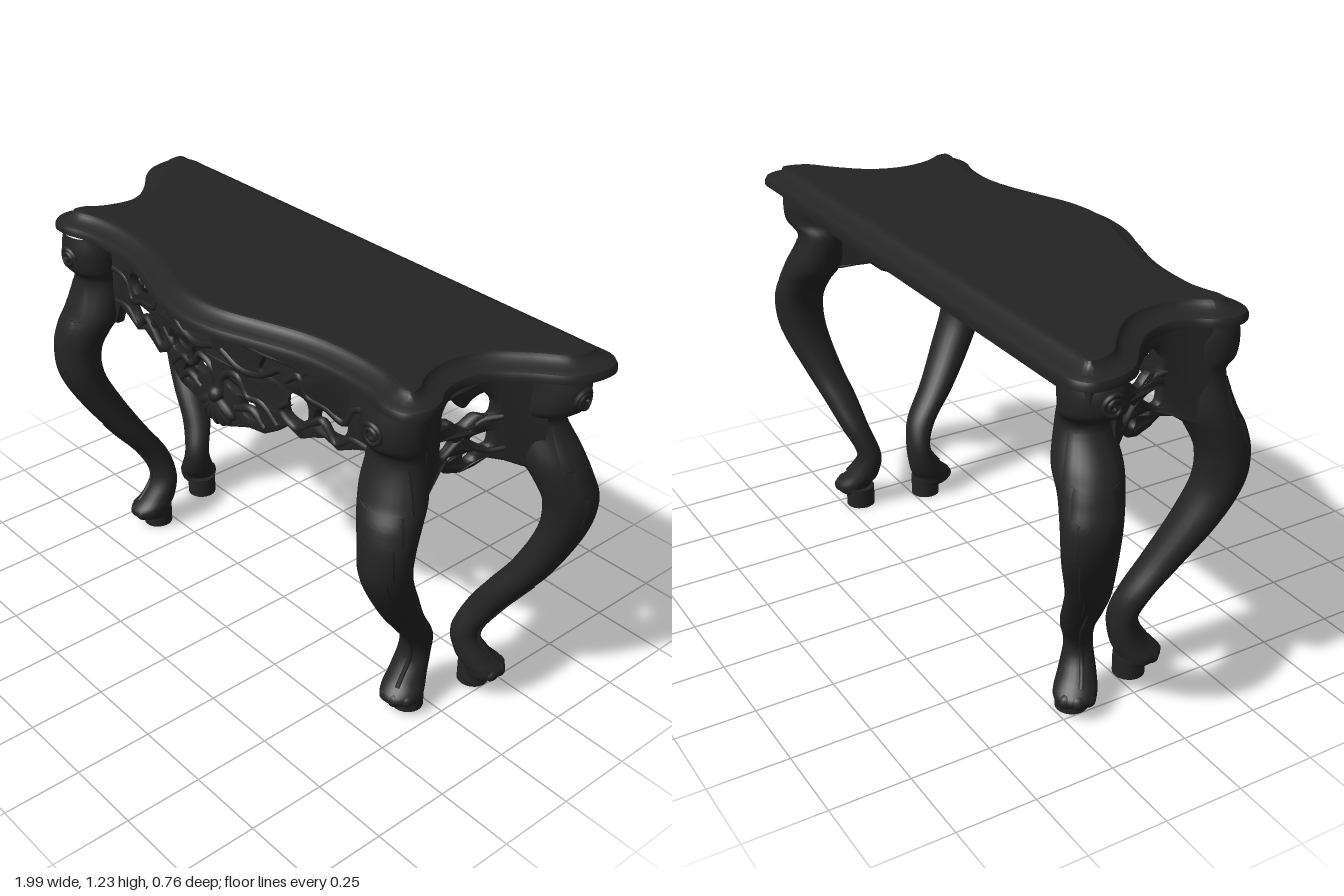
import * as THREE from 'three';
import { toCreasedNormals } from 'three/addons/utils/BufferGeometryUtils.js';

const V2 = (p) => new THREE.Vector2(p[0], p[1]);
const frontZ = (x) => 0.2 + (Math.abs(x) < 0.62 ? 0.029 * (1 + Math.cos((Math.PI * x) / 0.62)) : 0);
const sideX = (z) => 0.725 + 3 * (z - 0.03) ** 2;

// Skin over rows of points; rows run downwards, columns from +x towards +z
function skin(rows, closed = true) {
  const n = rows[0].length, index = [];
  for (let i = 0; i < rows.length - 1; i++) {
    for (let j = 0; j < (closed ? n : n - 1); j++) {
      const a = i * n + j, b = i * n + ((j + 1) % n);
      index.push(a, b, a + n, b, b + n, a + n);
    }
  }
  const g = new THREE.BufferGeometry();
  g.setAttribute('position', new THREE.Float32BufferAttribute(rows.flat(2), 3));
  g.setIndex(index);
  g.computeVertexNormals();
  return g;
}

// Mirror image across x = 0 with the winding put right
function mirrored(geo) {
  const g = geo.index ? geo.toNonIndexed() : geo.clone();
  g.scale(-1, 1, 1);
  for (const a of Object.values(g.attributes)) {
    for (let i = 0; i < a.count; i += 3) {
      for (let k = 0; k < a.itemSize; k++) {
        const t = a.getComponent(i + 1, k);
        a.setComponent(i + 1, k, a.getComponent(i + 2, k));
        a.setComponent(i + 2, k, t);
      }
    }
  }
  return g;
}

// Half outline of the top, back centre to front centre
const HALF = [[0, -0.379], [0.5, -0.379], [0.85, -0.379], [0.945, -0.375], [0.985, -0.34], [0.99, -0.275], [0.96, -0.195],
  [0.87, -0.115], [0.8, -0.035], [0.78, 0.045], [0.795, 0.115], [0.83, 0.17], [0.838, 0.235], [0.805, 0.285], [0.735, 0.295],
  [0.66, 0.275], [0.56, 0.266], [0.4, 0.28], [0.24, 0.33], [0.12, 0.37], [0, 0.384]];
const FULL = [...HALF, ...HALF.slice(1, -1).reverse().map(([x, z]) => [-x, z])];
const OUTLINE = new THREE.CatmullRomCurve3(FULL.map(([x, z]) => new THREE.Vector3(x, 0, z)), true)
  .getPoints(200).slice(0, -1).map((p) => [p.x, p.z]);

// Outline moved inwards, held back where it would fold over itself
function inset(d) {
  const n = OUTLINE.length;
  return OUTLINE.map(([x, z], i) => {
    const p = OUTLINE[(i + n - 1) % n], q = OUTLINE[(i + 1) % n];
    const l = Math.hypot(q[0] - p[0], q[1] - p[1]);
    const nx = -(q[1] - p[1]) / l, nz = (q[0] - p[0]) / l;
    for (let e = d; e > 0; e -= 0.002) {
      const c = [x + nx * e, z + nz * e];
      if (OUTLINE.every((o) => Math.hypot(o[0] - c[0], o[1] - c[1]) > e * 0.95)) return c;
    }
    return [x, z];
  });
}

// Leg sections: y, centre x, centre z, radius x, radius z
const FRONT_LEG = [[1.175, 0.71, 0.22, 0.085, 0.08], [1.12, 0.71, 0.22, 0.1, 0.087], [1.06, 0.71, 0.217, 0.1, 0.083],
  [1.01, 0.705, 0.202, 0.092, 0.067], [0.9, 0.715, 0.218, 0.108, 0.083], [0.83, 0.735, 0.248, 0.1, 0.083],
  [0.75, 0.75, 0.27, 0.088, 0.075], [0.65, 0.745, 0.265, 0.083, 0.071], [0.53, 0.725, 0.208, 0.078, 0.067],
  [0.4, 0.69, 0.127, 0.066, 0.058], [0.29, 0.665, 0.048, 0.058, 0.048], [0.2, 0.642, 0.022, 0.056, 0.04],
  [0.12, 0.643, 0.048, 0.06, 0.058], [0.075, 0.653, 0.078, 0.065, 0.071], [0.045, 0.653, 0.075, 0.055, 0.06],
  [0.03, 0.65, 0.06, 0.01, 0.01]];
const BACK_LEG = [[1.175, 0.85, -0.25, 0.08, 0.086], [1.12, 0.855, -0.253, 0.1, 0.09], [1.06, 0.85, -0.25, 0.095, 0.09],
  [1.01, 0.805, -0.245, 0.075, 0.075], [0.9, 0.845, -0.258, 0.1, 0.093], [0.83, 0.89, -0.273, 0.085, 0.09],
  [0.75, 0.92, -0.289, 0.074, 0.087], [0.64, 0.908, -0.283, 0.065, 0.081], [0.5, 0.85, -0.245, 0.062, 0.066],
  [0.4, 0.785, -0.215, 0.06, 0.058], [0.3, 0.72, -0.19, 0.055, 0.048], [0.2, 0.68, -0.158, 0.046, 0.042],
  [0.12, 0.703, -0.175, 0.06, 0.055], [0.075, 0.732, -0.2, 0.066, 0.065], [0.045, 0.728, -0.198, 0.055, 0.054],
  [0.03, 0.7, -0.19, 0.01, 0.01]];

function legPoint(sections) {
  const mid = new THREE.CatmullRomCurve3(sections.map((s) => new THREE.Vector3(s[1], s[0], s[2])), false, 'catmullrom');
  const rad = new THREE.CatmullRomCurve3(sections.map((s) => new THREE.Vector3(s[3], 0, s[4])), false, 'catmullrom');
  return (t, a, k = 1) => {
    const c = mid.getPoint(t), r = rad.getPoint(t);
    return [c.x + k * r.x * Math.cos(a), c.y, c.z + k * r.z * Math.sin(a)];
  };
}
const steps = (n, f) => Array.from({ length: n + 1 }, (_, i) => f(i / n));

// Carved panel with holes, bent by a rule
function panel(outline, holes, place) {
  const shape = new THREE.Shape(outline.map(V2));
  for (const h of holes) {
    const c = new THREE.SplineCurve([...h, h[0]].map(V2));
    shape.holes.push(new THREE.Path(c.getPoints(h.length * 5).slice(0, -1)));
  }
  const g = new THREE.ExtrudeGeometry(shape, { depth: 0.02, bevelSize: 0.008, bevelOffset: -0.008, bevelThickness: 0.008, bevelSegments: 2 });
  const p = g.attributes.position;
  for (let i = 0; i < p.count; i++) p.setXYZ(i, ...place(p.getX(i), p.getY(i), p.getZ(i)));
  return toCreasedNormals(g, 0.7);
}
const onFront = (x, y, d) => [x, y, frontZ(x) - 0.024 + d];
const onSide = (u, y, d) => [sideX(-u) - 0.024 + d, y, -u];

// Rounded scroll following a bent panel
function scroll(points, place, r) {
  const c = new THREE.CatmullRomCurve3(points.map(([u, y]) => new THREE.Vector3(...place(u, y, 0.02))));
  return new THREE.TubeGeometry(c, points.length * 6, r, 7);
}

export function createModel() {
  const model = new THREE.Group();
  const wood = new THREE.MeshStandardMaterial({ color: 0x242424 });
  wood.name = 'blackWood';
  const add = (name, geo) => {
    const m = new THREE.Mesh(geo, wood);
    m.name = name;
    model.add(m);
  };
  const pair = (name, geo) => {
    add(name + 'Left', geo);
    add(name + 'Right', mirrored(geo));
  };

  // Moulded slabs made of rings from the top down
  const slab = (name, rings) => {
    add(name + 'Edge', toCreasedNormals(skin(rings), 0.6));
    const cap = (ring, s) => new THREE.ShapeGeometry(new THREE.Shape(ring.map((p) => new THREE.Vector2(p[0], -s * p[2]))))
      .rotateX((-s * Math.PI) / 2).translate(0, ring[0][1], 0);
    add(name + 'Upper', cap(rings[0], 1));
    add(name + 'Under', cap(rings[rings.length - 1], -1));
  };
  const profile = [[0.07, 1.23], [0.063, 1.228], [0.058, 1.218], [0.045, 1.207], [0.022, 1.203], [0.006, 1.196], [0, 1.185], [0, 1.172]];
  slab('tableTop', profile.map(([d, y]) => inset(d).map(([x, z]) => [x, y, z])));
  // Frame under the top, with a flatter front
  const frame = inset(0.06);
  slab('frame', [1.175, 1.105].map((y) => frame.map(([x, z]) => [x, y, Math.min(z, frontZ(x) - 0.001)])));

  // Cabriole legs with a jagged leaf on each knee and a round foot block
  const legs = [['frontLeg', FRONT_LEG, 1.2, [0.65, 0.05]], ['backLeg', BACK_LEG, -0.4, [0.7, -0.19]]];
  for (const [name, sections, facing, foot] of legs) {
    const at = legPoint(sections);
    pair(name, skin(steps(75, (t) => steps(23, (j) => at(t, (j * 23 / 24) * Math.PI * 2)))));
    const leaf = steps(60, (v) => {
      const half = (0.25 + 0.9 * (1 - v) ** 0.7) * (0.7 + 0.4 * ((v * 5) % 1));
      return steps(10, (j) => at(0.21 + v * 0.4, facing + (j * 2 - 1) * half, j < 0.05 || j > 0.95 ? 0.97 : 1.035));
    });
    pair(name + 'Leaf', toCreasedNormals(skin(leaf, false), 0.6));
    // Stem running from the leaf to the foot
    const stem = steps(12, (v) => new THREE.Vector3(...at(0.58 + v * 0.24, facing, 0.99)));
    pair(name + 'Stem', new THREE.TubeGeometry(new THREE.CatmullRomCurve3(stem), 30, 0.008, 6));
    pair(name + 'Block', new THREE.CylinderGeometry(0.05, 0.05, 0.07, 20).translate(foot[0], 0.035, foot[1]));
    // Toes
    for (const da of [-0.75, 0, 0.75]) {
      const [x, , z] = at(13 / 15, facing + da, 0.7);
      pair(name + 'Toe', new THREE.SphereGeometry(0.025, 12, 8).translate(x, 0.065, z));
    }
    // Volute on the capital
    const spiral = steps(30, (t) => {
      const w = t * Math.PI * 4, r = 0.034 * (1 - 0.8 * t);
      const p = at(0.09, facing + 0.35 + (r * Math.cos(w)) / 0.09, 0.99);
      return new THREE.Vector3(p[0], 1.1 + r * Math.sin(w), p[2]);
    });
    pair(name + 'Volute', new THREE.TubeGeometry(new THREE.CatmullRomCurve3(spiral), 60, 0.008, 6));
  }

  // Pierced front apron
  const lower = [[0.66, 0.86], [0.61, 0.87], [0.58, 0.945], [0.53, 0.925], [0.48, 0.9], [0.43, 0.92], [0.38, 0.9],
    [0.34, 0.88], [0.29, 0.905], [0.25, 0.87], [0.2, 0.84], [0.14, 0.835], [0.1, 0.82], [0.05, 0.8]];
  const edge = [...lower.map(([x, y]) => [-x, y]), [0, 0.79], ...[...lower].reverse()];
  const topEdge = steps(20, (t) => [0.66 - 1.32 * t, 1.174]);
  const holes = [[[0.36, 1.095], [0.5, 1.09], [0.48, 1.03], [0.35, 1.045]], [[0.2, 1.095], [0.33, 1.095], [0.31, 1.045], [0.19, 1.045]],
    [[0.04, 1.095], [0.165, 1.09], [0.15, 1.025], [0.03, 1.035]], [[0.28, 1.02], [0.36, 1.01], [0.355, 0.93], [0.28, 0.94]],
    [[0.4, 1.005], [0.51, 1.0], [0.48, 0.94], [0.395, 0.95]], [[0.15, 1.01], [0.25, 1.02], [0.25, 0.95], [0.165, 0.95]],
    [[0.03, 1.005], [0.12, 1.0], [0.12, 0.945], [0.045, 0.945]], [[0.1, 0.925], [0.16, 0.925], [0.18, 0.88], [0.12, 0.875]]];
  const flip = (hs, c = 0) => hs.map((h) => h.map(([x, y]) => [2 * c - x, y]));
  add('frontApron', panel([...edge, ...topEdge], [...holes, ...flip(holes)], onFront));
  const scrolls = [
    [[0.62, 1.07], [0.54, 1.06], [0.5, 1.0], [0.43, 1.02], [0.36, 1.03], [0.33, 1.08], [0.28, 1.05]],
    [[0.6, 0.96], [0.53, 0.96], [0.47, 0.92], [0.42, 0.97], [0.38, 0.95], [0.32, 0.91], [0.26, 0.95], [0.3, 0.99]],
    [[0.26, 1.08], [0.18, 1.03], [0.1, 1.02], [0.02, 1.05]],
    [[0.25, 0.89], [0.19, 0.94], [0.13, 0.94], [0.09, 0.99], [0.03, 0.97], [0.02, 0.91]],
    [[0.2, 0.86], [0.15, 0.9], [0.08, 0.88]]];
  for (const s of scrolls) pair('apronScroll', scroll(s, onFront, 0.013));

  // Shell at the middle of the front apron
  for (let i = -3; i <= 3; i++) {
    const rib = new THREE.SphereGeometry(1, 12, 10).scale(0.02, 0.05, 0.02).translate(0, -0.045, 0);
    add('shellRib', rib.rotateZ(i * 0.36).translate(0, 0.885, 0.262));
  }
  add('shellHeart', new THREE.SphereGeometry(0.028, 14, 10).translate(0, 0.895, 0.262));

  // Pierced side aprons
  const sideEdge = [[-0.18, 1.174], [-0.18, 0.86], [-0.137, 0.865], [-0.1, 0.89], [-0.06, 0.895], [-0.03, 0.87], [0.02, 0.856],
    [0.06, 0.87], [0.09, 0.895], [0.13, 0.885], [0.165, 0.87], [0.2, 0.86], [0.2, 1.174], [0.1, 1.174], [0.02, 1.174], [-0.08, 1.174]];
  const small = [[[-0.06, 0.985], [-0.005, 0.965], [-0.02, 0.935], [-0.055, 0.935]], [[-0.025, 0.92], [0.012, 0.915], [0.005, 0.89], [-0.015, 0.895]]];
  const heart = [[-0.06, 1.075], [-0.035, 1.105], [-0.005, 1.09], [0.02, 1.065], [0.045, 1.09], [0.075, 1.105], [0.1, 1.075],
    [0.095, 1.03], [0.06, 1.035], [0.02, 1.005], [-0.02, 1.035], [-0.055, 1.03]];
  pair('sideApron', panel(sideEdge, [heart, ...small, ...flip(small, 0.02)], onSide));
  const curl = [[-0.08, 1.03], [-0.03, 1.015], [0.0, 0.985], [0.04, 0.95], [0.09, 0.92], [0.13, 0.93]];
  for (const s of [curl, ...flip([curl], 0.02)]) pair('sideScroll', scroll(s, onSide, 0.011));

  return model;
}
